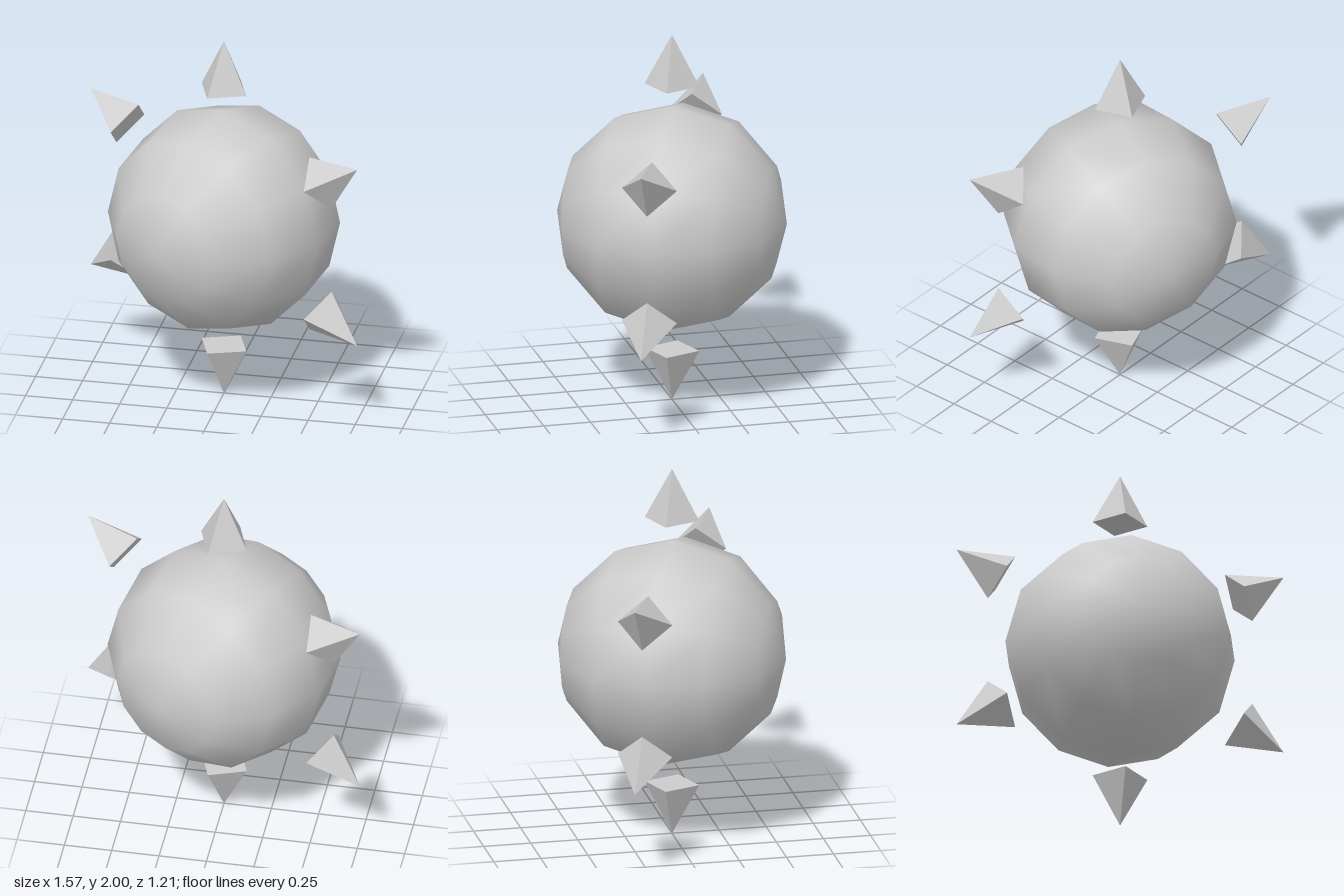
import * as THREE from 'three';

export function createModel() {
  const model = new THREE.Group();
  model.name = 'spikedBall';

  // Everything is turned about the vertical axis
  const body = new THREE.Group();
  body.name = 'body';
  body.position.y = 1;
  body.rotation.y = -THREE.MathUtils.degToRad(25);
  model.add(body);

  // Smooth, coarse ball with its poles lying along z
  const ball = new THREE.Mesh(
    new THREE.SphereGeometry(0.607, 12, 6).rotateX(Math.PI / 2),
    new THREE.MeshStandardMaterial({ color: 0xcccccc })
  );
  ball.name = 'ball';
  body.add(ball);

  // Six four-sided spikes floating in a ring around the ball
  const tip = 1, height = 0.275;
  const spikeGeometry = new THREE.ConeGeometry(0.145, height, 4).translate(0, tip - height / 2, 0);
  const spikeMaterial = new THREE.MeshStandardMaterial({ color: 0xcccccc, flatShading: true });
  for (let i = 0; i < 6; i++) {
    const spike = new THREE.Mesh(spikeGeometry, spikeMaterial);
    spike.name = `spike${i + 1}`;
    spike.rotation.z = (i * Math.PI) / 3;
    body.add(spike);
  }

  return model;
}
